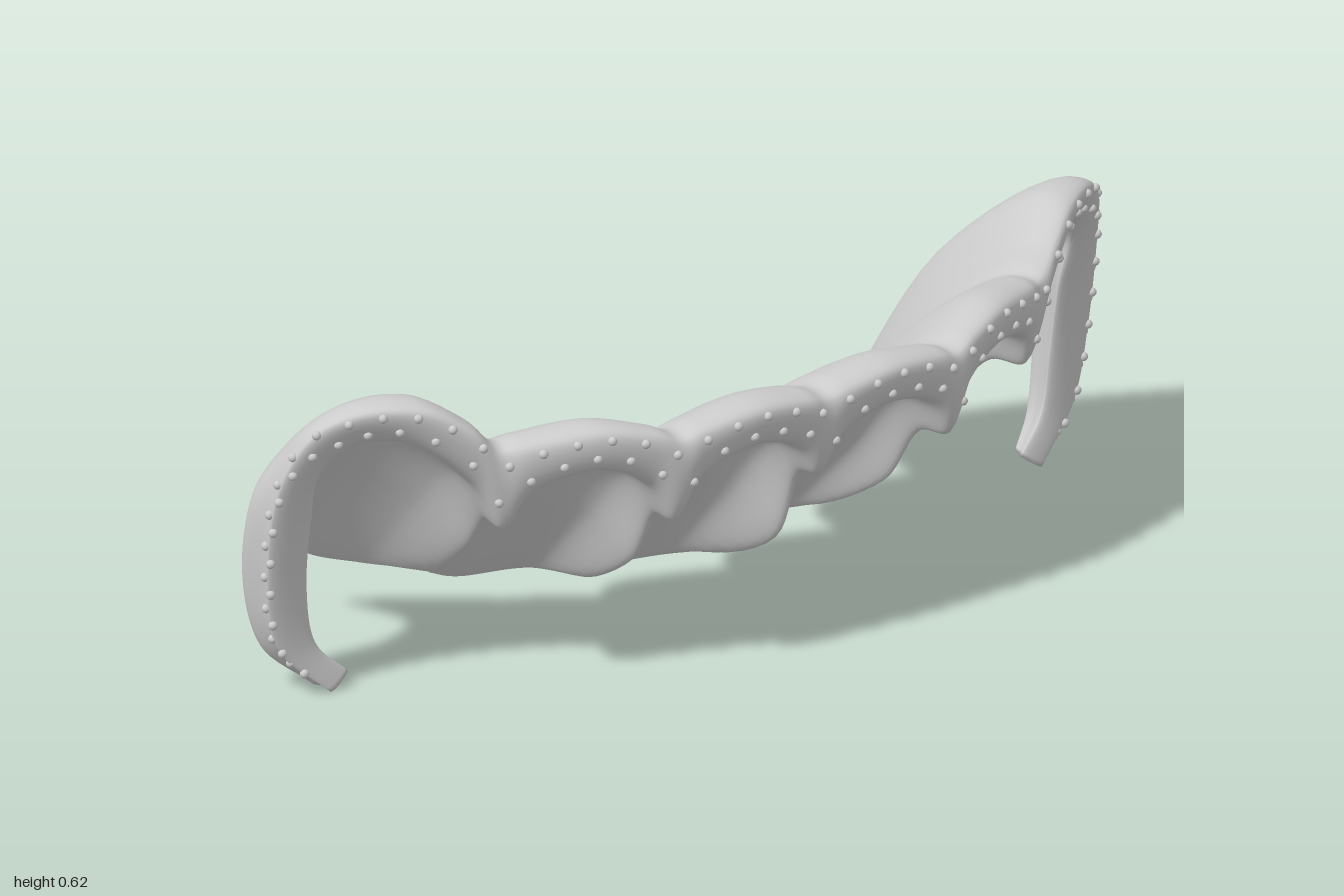
import * as THREE from 'three';

// Guide lines from the middle of the arch (x = 0) out to the tip of the clasp arm.
// Stations: scalloped border / tooth / border / tooth / border / end lobe / clasp.
const bandLower = [
  [0, .35, .335], [.05, .42, .345], [.16, .455, .35], [.28, .42, .335], [.33, .335, .313],
  [.38, .42, .305], [.48, .465, .275], [.59, .43, .215], [.63, .35, .17], [.68, .45, .15],
  [.78, .535, .09], [.86, .53, .02], [.905, .46, -.035], [.9, .36, -.065], [.895, .22, -.085],
  [.875, .1, -.085], [.81, .03, -.068]];
const bandUpper = [
  [0, .5, .362], [.05, .512, .367], [.16, .525, .365], [.28, .51, .35], [.33, .495, .34],
  [.38, .515, .325], [.48, .535, .285], [.6, .52, .225], [.65, .51, .19], [.7, .56, .17],
  [.78, .605, .12], [.88, .6, .05], [.95, .545, -.01], [.985, .42, -.06], [.985, .25, -.085],
  [.955, .1, -.09], [.855, 0, -.062]];
const backMiddle = [
  [0, .34, .065], [.05, .35, .05], [.15, .34, .035], [.26, .34, .055], [.3, .34, .06],
  [.35, .345, .035], [.44, .345, -.035], [.54, .35, -.065], [.58, .365, -.07], [.62, .39, -.12],
  [.7, .43, -.19], [.81, .47, -.175], [.91, .47, -.15], [.98, .4, -.145], [.985, .24, -.165],
  [.95, .09, -.155], [.87, .01, -.1]];
const lowerEdge = [
  [0, .09, -.01], [.06, .058, -.085], [.145, .045, -.13], [.23, .065, -.1], [.28, .095, -.045],
  [.32, .08, -.15], [.42, .068, -.215], [.5, .1, -.205], [.535, .125, -.18], [.585, .11, -.305],
  [.68, .14, -.373], [.77, .265, -.318], [.865, .395, -.21], [.925, .36, -.165], [.93, .22, -.18],
  [.9, .08, -.16], [.83, .025, -.11]];
// How deeply each station is hollowed on its inner side (negative: raised ridge)
const hollow = [-.4, .1, .25, .15, -.2, .2, .35, .3, 0, .35, .45, .45, .1, 0, 0, 0, 0];

const vectors = (list) => list.map((p) => new THREE.Vector3(...p));

// Mirrors a half guide line and runs one smooth curve through the whole arch
function archCurve(half) {
  const mirrored = half.slice(1).reverse().map((p) => new THREE.Vector3(-p.x, p.y, p.z));
  return new THREE.CatmullRomCurve3([...mirrored, ...half], false, 'catmullrom', 0.5);
}

function buildGuides() {
  const [a, b, d, e] = [bandLower, bandUpper, backMiddle, lowerEdge].map(vectors);
  // Rounded shoulder behind the band
  const shoulder = b.map((p, i) => {
    const q = p.clone().lerp(d[i], 0.25);
    q.y += 0.145 * p.distanceTo(d[i]);
    return q;
  });
  // Concave inner side
  const inner = a.map((p, i) => p.clone().lerp(e[i], 0.5).lerp(d[i], hollow[i]));
  // Underside of the band, nearly level behind its lower rim
  const underside = a.map((p, i) => {
    const q = p.clone().lerp(inner[i], 0.45);
    q.y = THREE.MathUtils.lerp(p.y, inner[i].y, 0.12);
    return q;
  });
  return [a, b, shoulder, d, e, inner, underside].map(archCurve);
}

// Closed cross-section at parameter t along the arch
const sectionAt = (guides, t) =>
  new THREE.CatmullRomCurve3(guides.map((g) => g.getPoint(t)), true, 'centripetal');

function frameGeometry(guides, columns = 384, ring = 49) {
  const positions = [], index = [];
  for (let i = 0; i <= columns; i++) {
    const section = sectionAt(guides, i / columns);
    for (let j = 0; j < ring; j++) positions.push(...section.getPoint(j / ring).toArray());
  }
  for (let i = 0; i < columns; i++) {
    for (let j = 0; j < ring; j++) {
      const k = (j + 1) % ring;
      const p = i * ring + j, q = i * ring + k;
      index.push(p, p + ring, q, q, p + ring, q + ring);
    }
  }
  // Close both clasp tips
  for (const end of [0, 1]) {
    const centre = new THREE.Vector3();
    guides.forEach((g) => centre.addScaledVector(g.getPoint(end), 1 / guides.length));
    const c = positions.length / 3, start = end * columns * ring;
    positions.push(...centre.toArray());
    for (let j = 0; j < ring; j++) {
      const p = start + j, q = start + (j + 1) % ring;
      if (end) index.push(c, q, p);
      else index.push(c, p, q);
    }
  }
  const geometry = new THREE.BufferGeometry();
  geometry.setAttribute('position', new THREE.Float32BufferAttribute(positions, 3));
  geometry.setIndex(index);
  geometry.computeVertexNormals();
  return geometry;
}

export function createModel() {
  const model = new THREE.Group();
  model.name = 'scallopedArchFrame';
  const material = new THREE.MeshStandardMaterial({ color: 0xcccccc });
  const guides = buildGuides();

  // Scalloped plate with its band and both clasp arms
  const frame = new THREE.Mesh(frameGeometry(guides), material);
  frame.name = 'scallopedPlateWithClasps';
  model.add(frame);

  // Two staggered rows of retention beads along the band
  const beads = new THREE.Group();
  beads.name = 'retentionBeads';
  const beadGeometry = new THREE.SphereGeometry(0.009, 10, 8);
  const count = 50;
  for (let row = 0; row < 2; row++) {
    for (let i = 0; i < count; i++) {
      const u = 0.015 + 0.97 * (i + 0.3 + 0.4 * row) / count;
      const t = guides[1].getUtoTmapping(u);
      // On the clasp arms the rows move round to the outer face
      const onClasp = THREE.MathUtils.smoothstep(Math.abs(t - 0.5) * 2, 0.68, 0.82);
      const around = 0.05 + 0.065 * row + onClasp * (0.085 + 0.03 * row);
      const bead = new THREE.Mesh(beadGeometry, material);
      bead.name = 'bead';
      bead.position.copy(sectionAt(guides, t).getPoint(around));
      beads.add(bead);
    }
  }
  model.add(beads);
  return model;
}
